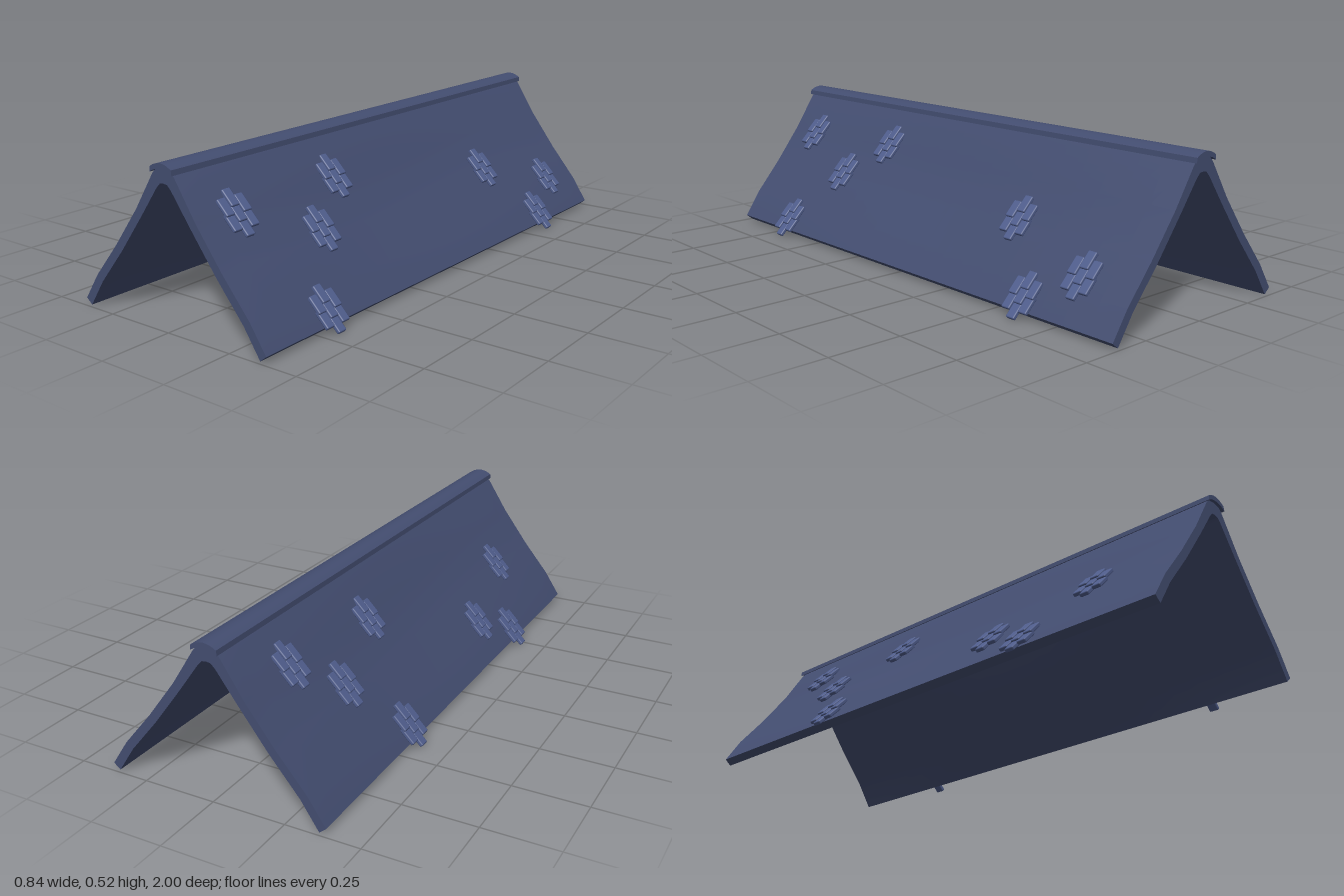
import * as THREE from 'three';
import { toCreasedNormals } from 'three/addons/utils/BufferGeometryUtils.js';
import { RoundedBoxGeometry } from 'three/addons/geometries/RoundedBoxGeometry.js';

const slabMat = new THREE.MeshStandardMaterial({ color: 0x434d70 });
const tileMat = new THREE.MeshStandardMaterial({ color: 0x4f5d8c });

// Right half of the roof section, from ridge to eave
const outer = [[0, 0.502], [0.03, 0.498], [0.045, 0.482], [0.124, 0.36], [0.224, 0.228], [0.324, 0.109], [0.383, 0.02]];
const inner = [[0, 0.457], [0.015, 0.455], [0.03, 0.44], [0.1, 0.344], [0.2, 0.212], [0.3, 0.092], [0.36, 0.001]];

const mirrored = (half) => [...half.slice(1).reverse().map(([x, y]) => [-x, y]), ...half];

// Closed section between an upper and a lower half curve, extruded along z
function extrudeSection(top, bottom, length, steps) {
  const pts = [...mirrored(top), ...mirrored(bottom).reverse()].map(([x, y]) => new THREE.Vector2(x, y));
  const geo = new THREE.ExtrudeGeometry(new THREE.Shape(pts), { depth: length, steps, bevelEnabled: false });
  return geo.translate(0, 0, -length / 2);
}

// How far a slope sinks inward at (x, z)
function sag(x, z) {
  const t = THREE.MathUtils.clamp((Math.abs(x) - 0.04) / 0.33, 0, 1);
  return 0.011 * Math.sin(Math.PI * t) * Math.cos(z * Math.PI / 2) ** 2;
}

function roofSlopes() {
  const geo = extrudeSection(outer, inner, 1.98, 20);
  const p = geo.attributes.position;
  for (let i = 0; i < p.count; i++) {
    const x = p.getX(i), d = sag(x, p.getZ(i));
    p.setXY(i, x - Math.sign(x) * 0.8 * d, p.getY(i) - 0.6 * d);
  }
  return new THREE.Mesh(toCreasedNormals(geo, 0.6), slabMat);
}

function ridgeCap() {
  const top = [[0, 0.52], [0.015, 0.518], [0.03, 0.513], [0.044, 0.505]];
  const bottom = [[0, 0.502], [0.015, 0.501], [0.03, 0.497], [0.046, 0.488]];
  return new THREE.Mesh(toCreasedNormals(extrudeSection(top, bottom, 2, 1), 0.6), slabMat);
}

// Height of the outer surface at x
function surfaceY(x) {
  let i = 1;
  while (i < outer.length - 1 && outer[i][0] < x) i++;
  const [[x0, y0], [x1, y1]] = [outer[i - 1], outer[i]];
  return y0 + (y1 - y0) * (x - x0) / (x1 - x0);
}

// Patch of raised shingles: three in the middle column, two on each side
const slope = Math.atan2(0.46, 0.34);
const tileGeo = new RoundedBoxGeometry(0.062, 0.014, 0.034, 1, 0.004);
function shinglePatch(x, z) {
  const patch = new THREE.Group();
  patch.name = 'shinglePatch';
  const columns = [[-0.036, [-0.025, 0.025]], [0, [-0.05, 0, 0.05]], [0.036, [-0.025, 0.025]]];
  for (const [dz, rows] of columns) {
    for (const along of rows) {
      const tile = new THREE.Mesh(tileGeo, tileMat);
      tile.name = 'shingle';
      tile.position.set(along, 0.009, dz);
      tile.rotation.z = 0.14; // lower end lifted
      patch.add(tile);
    }
  }
  const d = sag(x, z);
  patch.position.set(x - 0.8 * d, surfaceY(x) - 0.6 * d, z);
  patch.rotation.z = -slope;
  return patch;
}

export function createModel() {
  const roof = new THREE.Group();
  roof.name = 'roof';

  const slopes = roofSlopes();
  slopes.name = 'roofSlopes';
  const cap = ridgeCap();
  cap.name = 'ridgeCap';
  roof.add(slopes, cap);

  // Patch positions (distance from ridge, z) on each slope
  const left = [[0.29, -0.79], [0.357, -0.61], [0.21, -0.435], [0.12, 0.36], [0.21, 0.535], [0.357, 0.69], [0.13, 0.83]];
  const right = [[0.12, -0.745], [0.21, -0.57], [0.355, -0.41], [0.135, -0.275], [0.295, 0.305], [0.357, 0.485], [0.213, 0.665]];
  const leftShingles = new THREE.Group();
  leftShingles.name = 'leftShingles';
  left.forEach(([x, z]) => leftShingles.add(shinglePatch(x, z)));

  // A half turn puts the second set on the other slope
  const rightShingles = new THREE.Group();
  rightShingles.name = 'rightShingles';
  right.forEach(([x, z]) => rightShingles.add(shinglePatch(x, -z)));
  rightShingles.rotation.y = Math.PI;

  roof.add(leftShingles, rightShingles);
  return roof;
}
